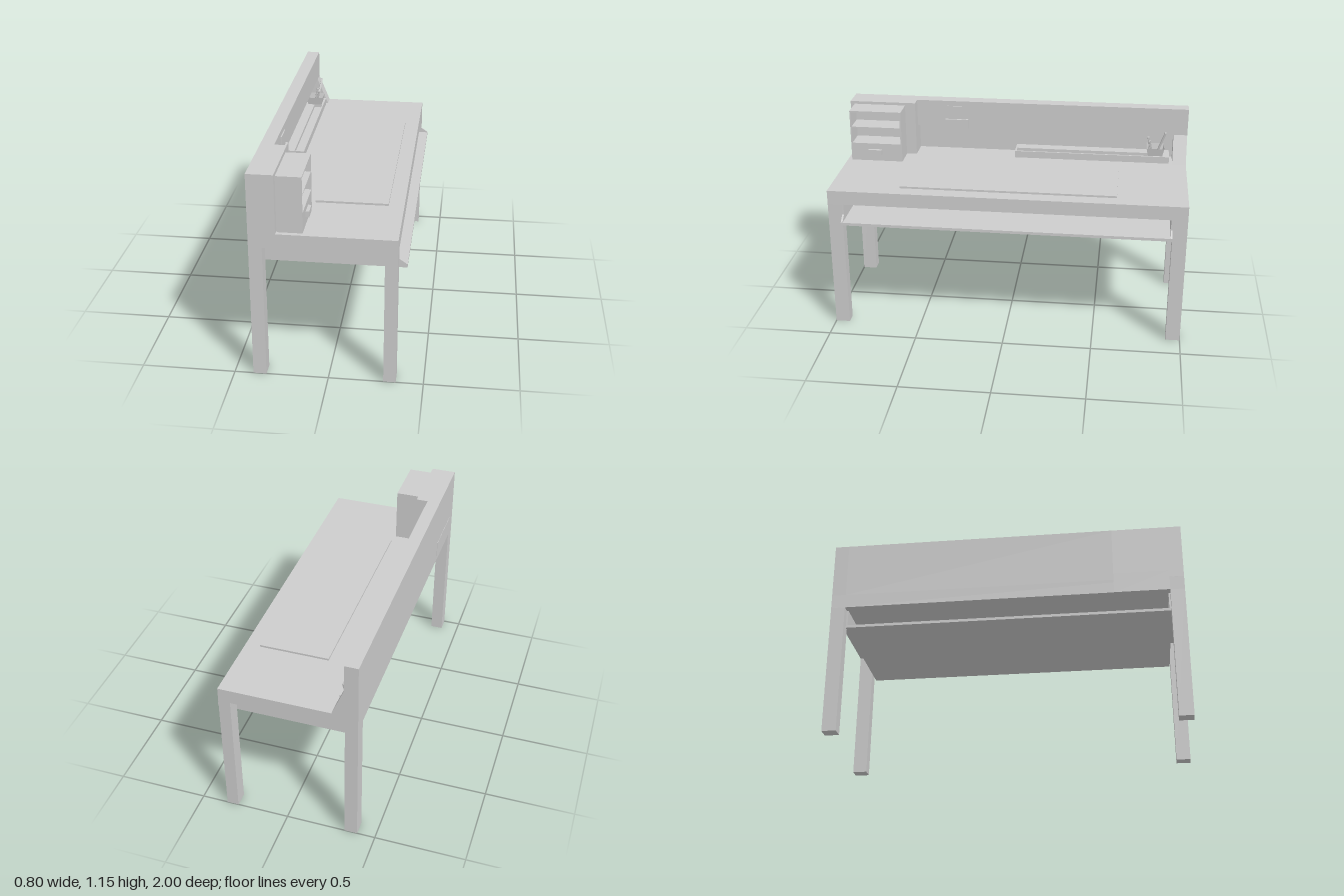
import * as THREE from 'three';

export function createModel() {
  const desk = new THREE.Group();
  desk.name = 'desk';
  const grey = new THREE.MeshStandardMaterial({ color: 0xcccccc, side: THREE.DoubleSide });
  grey.name = 'plain grey';

  const add = (name, geometry, parent = desk) => {
    const mesh = new THREE.Mesh(geometry, grey);
    mesh.name = name;
    parent.add(mesh);
    return mesh;
  };
  // Box given by its limits on each axis
  const box = (name, [x0, x1], [y0, y1], [z0, z1], parent) => {
    const mesh = add(name, new THREE.BoxGeometry(x1 - x0, y1 - y0, z1 - z0), parent);
    mesh.position.set((x0 + x1) / 2, (y0 + y1) / 2, (z0 + z1) / 2);
    return mesh;
  };
  // Outline in x and y, pushed along z
  const profile = (name, points, [z0, z1], parent) => {
    const shape = new THREE.Shape(points.map(([x, y]) => new THREE.Vector2(x, y)));
    const geometry = new THREE.ExtrudeGeometry(shape, { depth: z1 - z0, bevelEnabled: false });
    add(name, geometry.translate(0, 0, z0), parent);
  };
  const group = (name) => {
    const g = new THREE.Group();
    g.name = name;
    desk.add(g);
    return g;
  };

  // Worktop, legs and pad
  box('worktop', [-0.4, 0.355], [0.75, 0.83], [-1, 1]);
  for (const x of [[-0.4, -0.33], [0.29, 0.355]])
    for (const z of [[-1, -0.92], [0.92, 1]]) box('leg', x, [0, 0.75], z);
  box('deskPad', [-0.115, 0.272], [0.83, 0.841], [-0.61, 0.605]);

  // Keyboard tray under the worktop, open at front and back
  const tray = group('keyboardTray');
  box('trayFloor', [-0.355, 0.398], [0.642, 0.658], [-0.92, 0.92], tray);
  const side = [[-0.355, 0.642], [0.398, 0.642], [0.398, 0.66], [0.355, 0.69], [0.355, 0.75], [-0.355, 0.75]];
  profile('traySide', side, [-0.92, -0.91], tray);
  profile('traySide', side, [0.91, 0.92], tray);

  // Back wall with an overhanging upper part and solid ends
  const wall = group('backWall');
  box('wallPanel', [-0.4, -0.39], [0.83, 1.15], [-0.92, 0.61], wall);
  box('wallOverhang', [-0.39, -0.326], [0.992, 1.15], [-0.92, 0.61], wall);
  profile('wallBracket', [[-0.4, 0.83], [-0.26, 0.83], [-0.326, 0.992], [-0.326, 1.15], [-0.4, 1.15]], [-1, -0.92], wall);
  box('wallBlock', [-0.4, -0.26], [0.83, 1.15], [0.61, 1], wall);
  box('rearPlate', [-0.402, -0.4], [0.75, 0.87], [0.61, 0.92], wall);

  // Small cabinet with two open shelves over a drawer
  const cabinet = group('cabinet');
  const cx = [-0.257, -0.125], cz = [0.67, 0.975];
  box('cabinetBack', [-0.257, -0.25], [0.83, 1.135], cz, cabinet);
  box('cabinetSide', cx, [0.83, 1.135], [0.67, 0.678], cabinet);
  box('cabinetSide', cx, [0.83, 1.135], [0.967, 0.975], cabinet);
  box('cabinetTop', cx, [1.127, 1.135], cz, cabinet);
  box('shelf', cx, [1.032, 1.038], cz, cabinet);
  box('drawer', cx, [0.83, 0.937], cz, cabinet);
  box('drawerHandle', [-0.125, -0.107], [0.87, 0.902], [0.79, 0.87], cabinet);

  // Long storage box beneath the overhang
  const store = group('storageBox');
  box('storageFloor', [-0.39, -0.27], [0.83, 0.852], [-0.9, 0.015], store);
  box('storageFront', [-0.277, -0.27], [0.852, 0.87], [-0.9, 0.015], store);
  box('storageRear', [-0.39, -0.326], [0.852, 0.87], [-0.9, 0.015], store);
  box('storageEnd', [-0.326, -0.277], [0.852, 0.87], [0.005, 0.015], store);
  box('storageCover', [-0.326, -0.277], [0.852, 0.87], [-0.9, -0.775], store);

  // Wall holder with an upright card
  const holder = group('wallHolder');
  box('holderPocket', [-0.326, -0.308], [0.985, 1.04], [0.302, 0.438], holder);
  box('holderCard', [-0.326, -0.32], [1.04, 1.12], [0.315, 0.425], holder);

  // Square tapered pen cup
  const cup = group('penCup');
  cup.position.set(-0.325, 0.87, -0.818);
  const wallGeo = new THREE.CylinderGeometry(0.073, 0.06, 0.047, 4, 1, true).toNonIndexed();
  wallGeo.rotateY(Math.PI / 4).translate(0, 0.0235, 0).computeVertexNormals();
  add('cupWall', wallGeo, cup);
  box('cupFloor', [-0.042, 0.042], [0, 0.004], [-0.042, 0.042], cup);
  const pens = [
    [[0.01, 0.01, -0.01], [0.035, 0.145, -0.055]],
    [[0, 0.01, 0.03], [0.02, 0.11, 0.044]],
    [[0.01, 0.01, 0.02], [0.03, 0.09, 0.036]],
  ];
  for (const [a, b] of pens) {
    const from = new THREE.Vector3(...a), to = new THREE.Vector3(...b);
    const pen = add('pen', new THREE.BoxGeometry(0.01, 0.01, from.distanceTo(to)), cup);
    pen.position.copy(from).lerp(to, 0.5);
    pen.quaternion.setFromUnitVectors(new THREE.Vector3(0, 0, 1), to.sub(from).normalize());
  }
  return desk;
}
